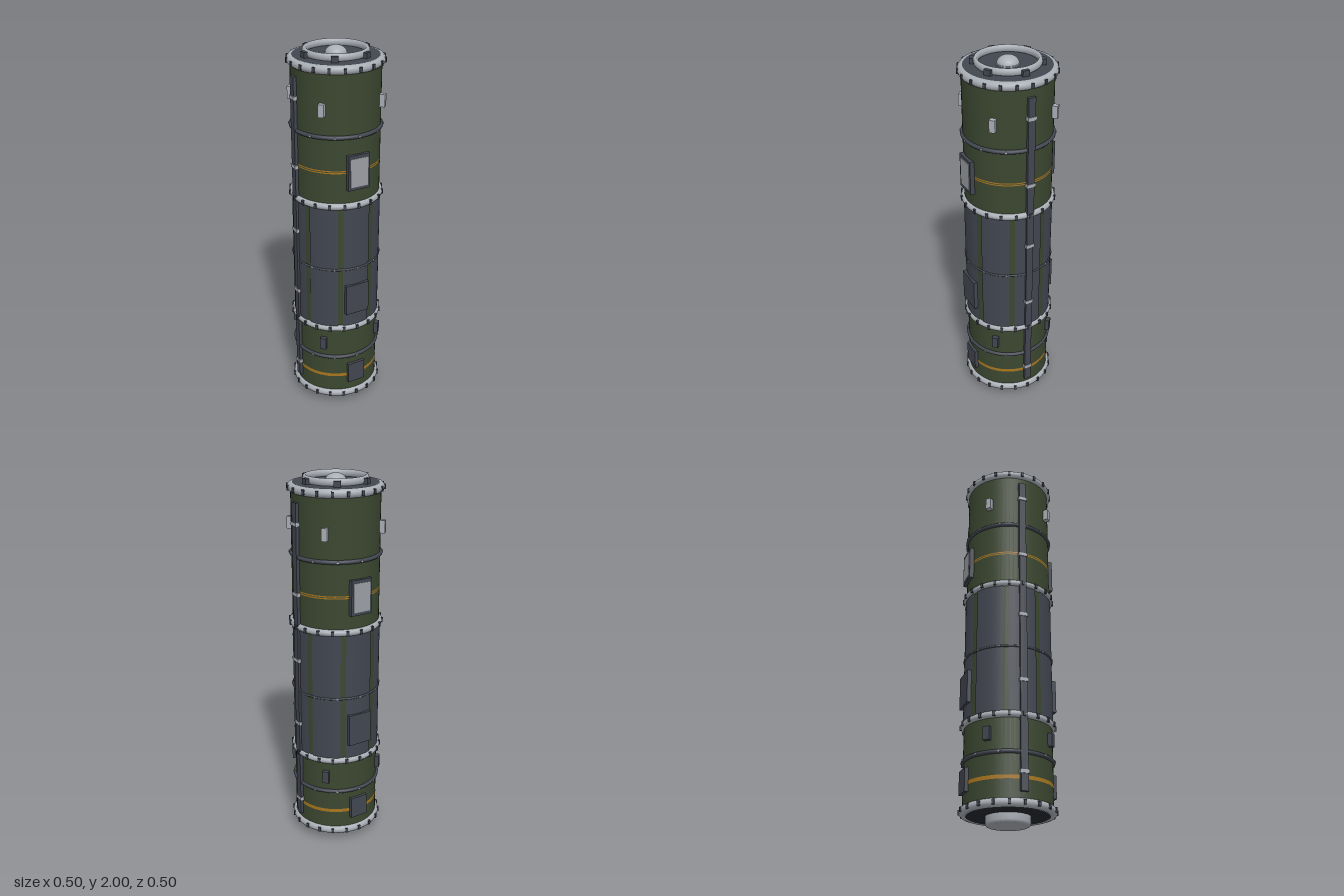
import * as THREE from 'three';

const mat = (name, color) => {
  const m = new THREE.MeshStandardMaterial({ color });
  m.name = name;
  return m;
};

export function createModel() {
  const green = mat('olive green', 0x3b4730);
  const slate = mat('dark slate', 0x424650);
  const steel = mat('light steel', 0xa9aeb5);
  const black = mat('near black', 0x26282d);
  const glass = mat('window grey', 0x9b9ea3);
  const ochre = mat('ochre stripe', 0xa8761f);

  const model = new THREE.Group();
  model.name = 'cylindricalModule';
  const R = 0.228;

  const add = (name, geo, material, y = 0) => {
    const m = new THREE.Mesh(geo, material);
    m.name = name;
    m.position.y = y;
    model.add(m);
    return m;
  };
  // Upright cylinder between two heights
  const drum = (name, r0, r1, y0, y1, material, open = false) =>
    add(name, new THREE.CylinderGeometry(r1, r0, y1 - y0, 64, 1, open), material, (y0 + y1) / 2);
  // Horizontal ring
  const ring = (name, outer, tube, y, material, stretch = 1) => {
    const g = new THREE.TorusGeometry(outer - tube, tube, 12, 72).rotateX(Math.PI / 2).scale(1, stretch, 1);
    return add(name, g, material, y);
  };
  // Box facing outward at an angle from the front, with its outer face at radius r
  const outward = (name, angle, r, y, w, h, d, material) => {
    const m = add(name, new THREE.BoxGeometry(w, h, d), material, y);
    m.position.x = Math.sin(angle) * (r - d / 2);
    m.position.z = Math.cos(angle) * (r - d / 2);
    m.rotation.y = angle;
    return m;
  };
  const around = (n, fn, start = 0) => {
    for (let i = 0; i < n; i++) fn(start + (i * Math.PI * 2) / n);
  };

  // Hull and end plates
  drum('hull', R, R, 0.06, 1.945, green);
  drum('topPlate', 0.22, 0.22, 1.94, 1.957, slate);
  drum('bottomPlate', 0.222, 0.222, 0.048, 0.062, black);

  // Base plug with a rounded lower edge
  const plug = [[0, 0], [0.1, 0], [0.109, 0.004], [0.114, 0.015], [0.114, 0.05]];
  add('basePlug', new THREE.LatheGeometry(plug.map(p => new THREE.Vector2(...p)), 48), steel);

  // Main steel bands with dark bolts
  for (const [y, tube] of [[0.068, 0.023], [0.505, 0.018], [1.235, 0.018], [1.935, 0.023]]) {
    ring('steelBand', 0.245, tube, y, steel);
    around(20, a => outward('bandBolt', a, 0.249, y, 0.014, 0.025, 0.016, slate));
  }

  // Thin dark rings with light studs
  for (const [y, outer, tube] of [[0.315, 0.24, 0.011], [0.87, 0.238, 0.006], [1.602, 0.24, 0.011]]) {
    ring('darkRing', outer, tube, y, slate);
    around(12, a => outward('ringStud', a, outer + 0.003, y, 0.01, 0.01, 0.01, steel));
  }

  // Eight curved panels around the middle section
  const span = THREE.MathUtils.degToRad(38);
  around(8, a => add('curvedPanel',
    new THREE.CylinderGeometry(0.233, 0.233, 0.7, 10, 1, true, a - span / 2, span), slate, 0.87));

  // Painted stripes
  drum('lowerStripe', R + 0.001, R + 0.001, 0.181, 0.2, ochre, true);
  for (const y of [1.413, 1.423]) drum('upperStripe', R + 0.001, R + 0.001, y, y + 0.006, ochre, true);

  // Window and hatches, front and back
  around(2, a => {
    outward('windowFrame', a, 0.243, 1.418, 0.12, 0.185, 0.03, slate);
    outward('windowPane', a, 0.246, 1.418, 0.098, 0.152, 0.006, glass);
    outward('middleHatch', a, 0.244, 0.687, 0.135, 0.175, 0.03, slate);
    outward('lowerHatch', a, 0.242, 0.205, 0.1, 0.12, 0.03, slate);
  });

  // Conduits with clips, left and right
  around(2, a => {
    outward('conduit', a, 0.244, 0.998, 0.038, 1.755, 0.03, slate);
    for (const y of [0.215, 0.685, 1.05, 1.41, 1.77])
      outward('conduitClip', a, 0.248, y, 0.048, 0.018, 0.03, steel);
  }, Math.PI / 2);

  // Small diagonal blocks
  around(4, a => {
    outward('upperBlock', a, 0.255, 1.742, 0.03, 0.064, 0.04, steel);
    outward('lowerBlock', a, 0.25, 0.408, 0.034, 0.068, 0.035, slate);
  }, Math.PI / 4);

  // Docking ring, lugs and central dome
  ring('dockingRing', 0.167, 0.0125, 1.976, steel, 1.5);
  around(6, a => outward('dockingLug', a, 0.183, 1.972, 0.035, 0.028, 0.026, slate), Math.PI / 6);
  drum('domeRim', 0.058, 0.058, 1.955, 1.963, steel);
  const dome = new THREE.SphereGeometry(0.055, 32, 12, 0, Math.PI * 2, 0, Math.PI / 2);
  add('dome', dome.scale(1, 0.72, 1), steel, 1.96);

  return model;
}
